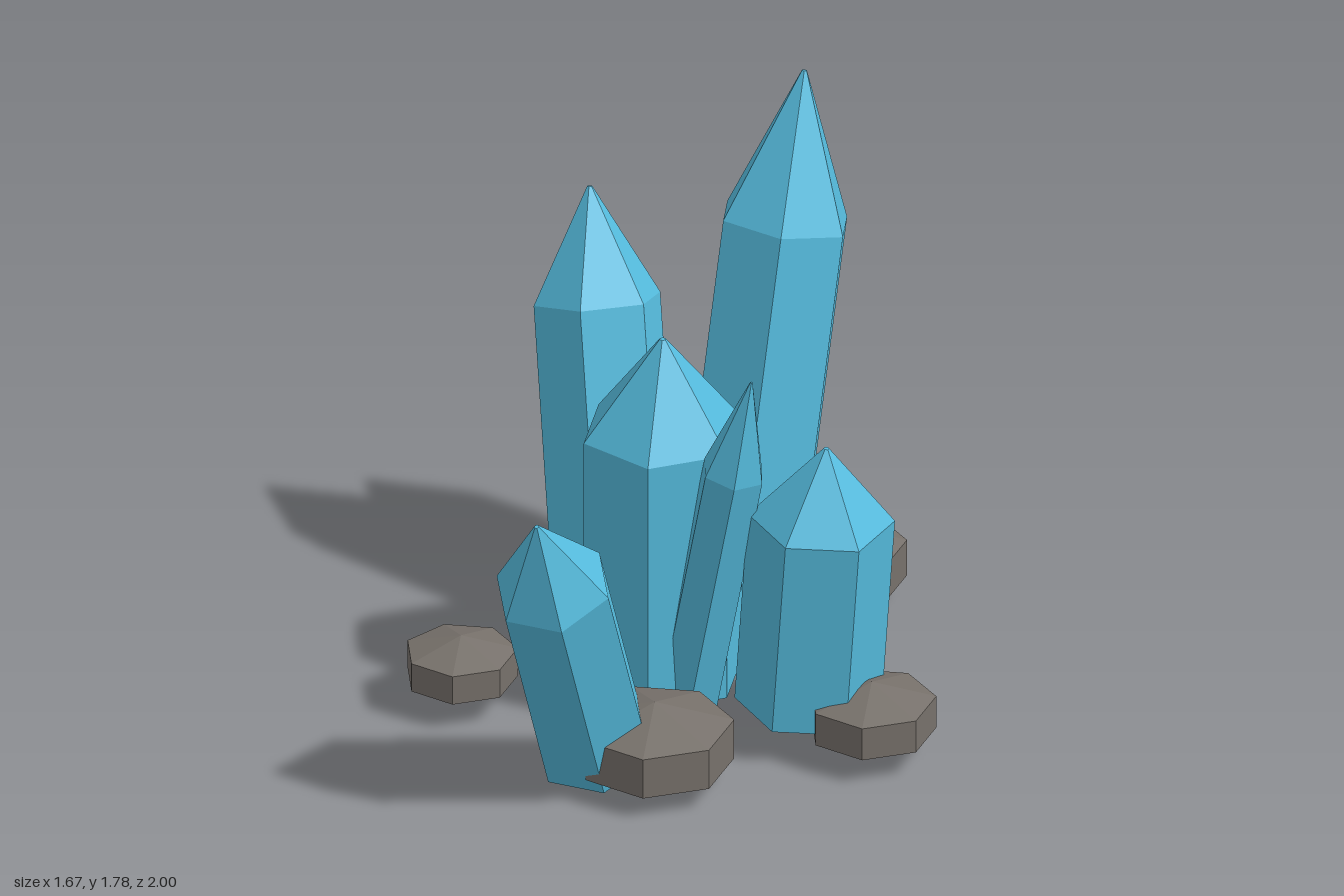
import * as THREE from 'three';

const crystalBlue = new THREE.MeshStandardMaterial({ color: 0x55bbdd, flatShading: true });
crystalBlue.name = 'crystal blue';
const stoneGrey = new THREE.MeshStandardMaterial({ color: 0x77716b, flatShading: true });
stoneGrey.name = 'stone grey';

const UP = new THREE.Vector3(0, 1, 0);

// Faceted solid turned from a [radius, height] profile, listed bottom to top
function facetedSolid(name, profile, sides, turnDegrees, material) {
  const points = profile.map(([r, y]) => new THREE.Vector2(r, y));
  const geometry = new THREE.LatheGeometry(points, sides, THREE.MathUtils.degToRad(turnDegrees));
  const mesh = new THREE.Mesh(geometry, material);
  mesh.name = name;
  return mesh;
}

// Six-sided crystal leaning from its base centre to its tip
function crystal({ name, base, tip, radius, turn }) {
  const start = new THREE.Vector3(...base);
  const axis = new THREE.Vector3(...tip).sub(start);
  const length = axis.length();
  const mesh = facetedSolid(name, [
    [0, -0.2 * radius],
    [radius, 0],
    [radius, 0.727 * length],
    [0.04 * radius, length],
    [0, length],
  ], 6, turn, crystalBlue);
  mesh.quaternion.setFromUnitVectors(UP, axis.normalize());
  mesh.position.copy(start);
  return mesh;
}

// Seven-sided stone with shallow cones above and below
function stone({ name, at, radius }) {
  const mesh = facetedSolid(name, [
    [0, -0.57 * radius],
    [radius, -0.275 * radius],
    [radius, 0.275 * radius],
    [0, 0.57 * radius],
  ], 7, 180, stoneGrey);
  mesh.position.set(at[0], 0.14, at[1]);
  return mesh;
}

export function createModel() {
  const model = new THREE.Group();
  model.name = 'crystalCluster';

  const crystals = [
    { name: 'centreCrystal', base: [-0.08, 0.09, 0.02], tip: [-0.08, 1.23, 0.02], radius: 0.253, turn: 24 },
    { name: 'tallBackCrystal', base: [-0.11, 0.09, -0.405], tip: [-0.115, 1.777, -0.79], radius: 0.21, turn: 30 },
    { name: 'rightBackCrystal', base: [-0.445, 0.1, -0.27], tip: [-0.727, 1.307, -0.54], radius: 0.198, turn: 20 },
    { name: 'frontCrystal', base: [0.02, 0.09, 0.53], tip: [0.1, 1.062, 0.96], radius: 0.183, turn: 41 },
    { name: 'leftCrystal', base: [0.415, 0.12, -0.03], tip: [0.483, 1.005, -0.028], radius: 0.222, turn: 5 },
    { name: 'slenderCrystal', base: [0.05, 0.04, 0.09], tip: [0.306, 1.24, 0.113], radius: 0.1, turn: 36 },
  ];
  for (const c of crystals) model.add(crystal(c));

  const stones = [
    { name: 'frontRightStone', at: [-0.56, 0.395], radius: 0.172 },
    { name: 'frontStone', at: [0.2, 0.475], radius: 0.24 },
    { name: 'leftStone', at: [0.642, -0.037], radius: 0.195 },
    { name: 'backStone', at: [0, -0.78], radius: 0.22 },
    { name: 'innerBackStone', at: [0, -0.55], radius: 0.17 },
  ];
  for (const s of stones) model.add(stone(s));

  return model;
}
